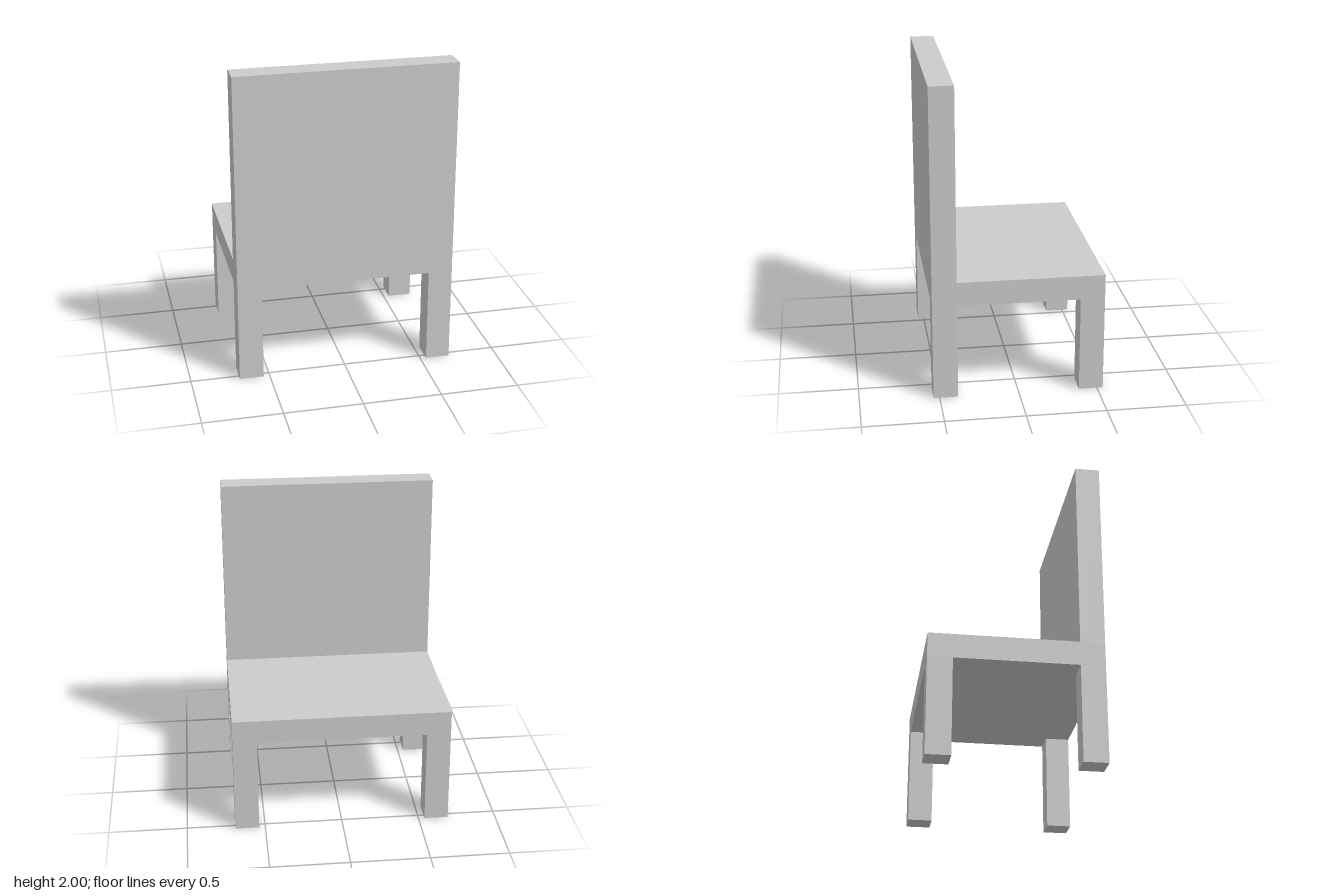
import * as THREE from 'three';

// The chair follows a 9 x 13 x 7 module grid; the tallest side is 2 units.
const U = 2 / 13;

export function createModel() {
  const chair = new THREE.Group();
  chair.name = 'chair';
  const material = new THREE.MeshStandardMaterial({ color: 0xcccccc, flatShading: true });

  // Box given in grid modules, placed by its centre in x and z and by its base in y
  function block(name, [w, h, d], [x, base, z]) {
    const mesh = new THREE.Mesh(new THREE.BoxGeometry(w * U, h * U, d * U), material);
    mesh.name = name;
    mesh.position.set(x * U, (base + h / 2) * U, z * U);
    chair.add(mesh);
  }

  // Seat slab, and the backrest standing on its +z edge
  block('seat', [9, 1, 7], [0, 4, 0]);
  block('backrest', [9, 8, 1], [0, 5, 3]);

  // Four square legs flush with the seat corners
  for (const [side, x] of [['left', 4], ['right', -4]]) {
    block(side + 'BackrestLeg', [1, 4, 1], [x, 0, 3]);
    block(side + 'SeatLeg', [1, 4, 1], [x, 0, -3]);
  }

  return chair;
}
